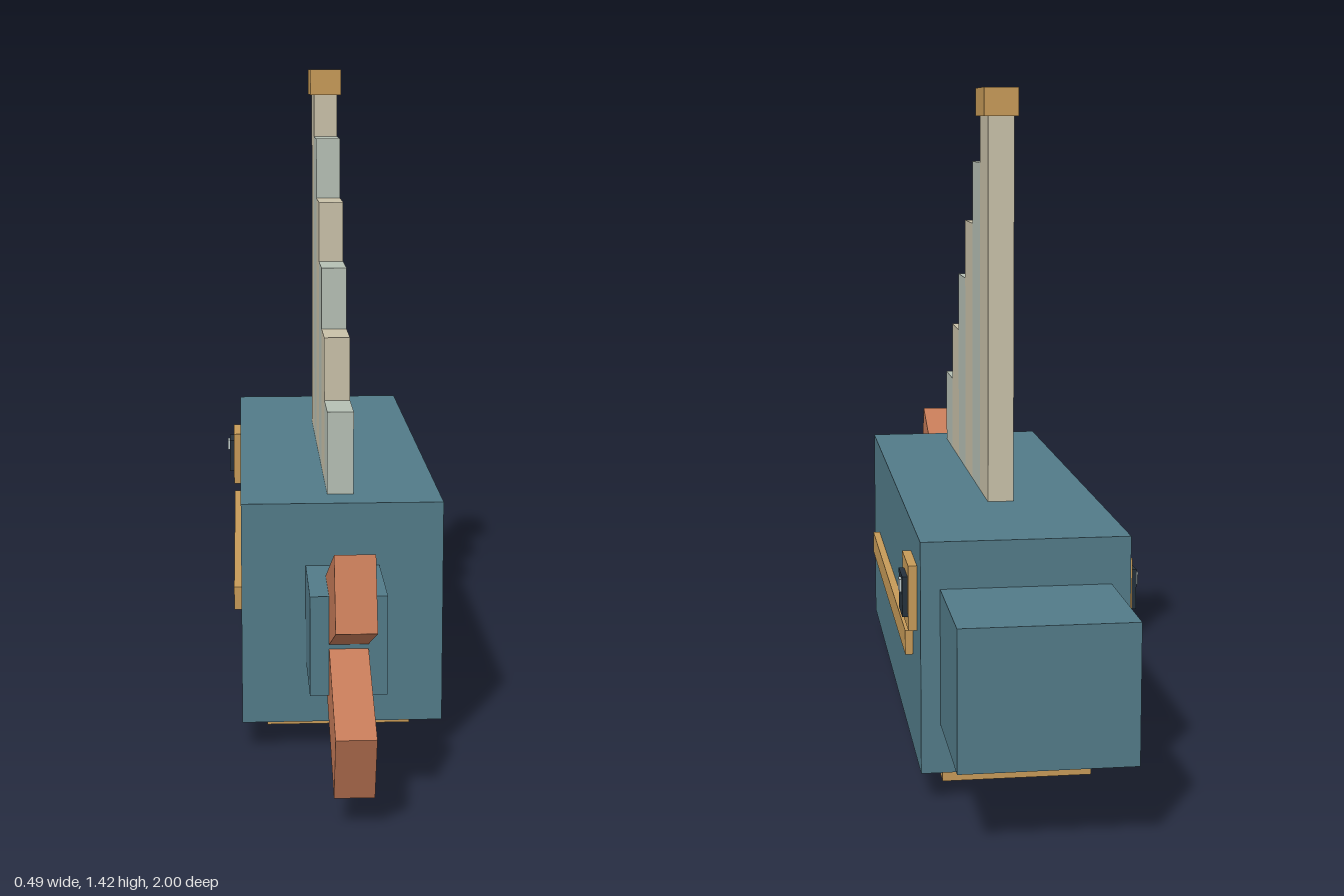
import * as THREE from 'three';

export function createModel() {
  const model = new THREE.Group();
  model.name = 'blockFish';

  const mat = (name, color) => {
    const m = new THREE.MeshStandardMaterial({ color });
    m.name = name;
    return m;
  };
  const teal = mat('teal', 0x527a88);
  const gold = mat('gold', 0xc69a58);
  const coral = mat('coral', 0xc47a58);
  const cream = mat('cream', 0xc8c0a8);
  const sage = mat('sage', 0xb5bfb4);
  const dark = mat('darkSlate', 0x25313c);
  const pale = mat('paleGrey', 0xc0cccc);

  // Box given by its lower and upper limits on each axis
  const box = (name, material, [x0, x1], [y0, y1], [z0, z1]) => {
    const mesh = new THREE.Mesh(new THREE.BoxGeometry(x1 - x0, y1 - y0, z1 - z0), material);
    mesh.position.set((x0 + x1) / 2, (y0 + y1) / 2, (z0 + z1) / 2);
    mesh.name = name;
    model.add(mesh);
    return mesh;
  };

  // Trunk
  box('body', teal, [-0.211, 0.211], [0.06, 0.533], [-0.717, 0.532]);
  box('snout', teal, [-0.172, 0.172], [0.16, 0.437], [-1, -0.717]);
  box('tailStub', teal, [-0.077, 0.077], [0.197, 0.4], [0.532, 0.758]);
  box('belly', gold, [-0.156, 0.156], [0, 0.06], [-0.605, 0.385]);

  // Side stripes and eyes, mirrored
  for (const [side, s] of [['left', 1], ['right', -1]]) {
    const span = (a, b) => (s > 0 ? [a, b] : [-b, -a]);
    box(side + 'Stripe', gold, span(0.2, 0.227), [0.257, 0.308], [-0.55, 0.367]);
    box(side + 'EyePlate', gold, span(0.2, 0.229), [0.335, 0.469], [-0.647, -0.515]);
    box(side + 'Pupil', dark, span(0.22, 0.24), [0.361, 0.444], [-0.636, -0.557]);
    box(side + 'EyeGlint', pale, span(0.235, 0.245), [0.41, 0.436], [-0.626, -0.6]);
  }

  // Stepped sail, rising toward the head
  const tops = [0.71, 0.848, 0.985, 1.121, 1.26, 1.37];
  const step = 0.1338;
  tops.forEach((top, i) => {
    const z = 0.45 - i * step;
    box('sailStep' + (i + 1), i % 2 ? cream : sage, [-0.028, 0.028], [0.5, top], [z - step, z]);
  });
  box('sailCap', gold, [-0.037, 0.037], [1.36, 1.42], [-0.357, -0.209]);

  // Forked tail, two tilted bars
  for (const [name, s] of [['upperTailFin', 1], ['lowerTailFin', -1]]) {
    const fin = new THREE.Mesh(new THREE.BoxGeometry(0.078, 0.146, 0.4), coral);
    fin.position.set(0, 0.2975 + s * 0.095, 0.787);
    fin.rotation.x = -s * THREE.MathUtils.degToRad(22);
    fin.name = name;
    model.add(fin);
  }

  return model;
}
